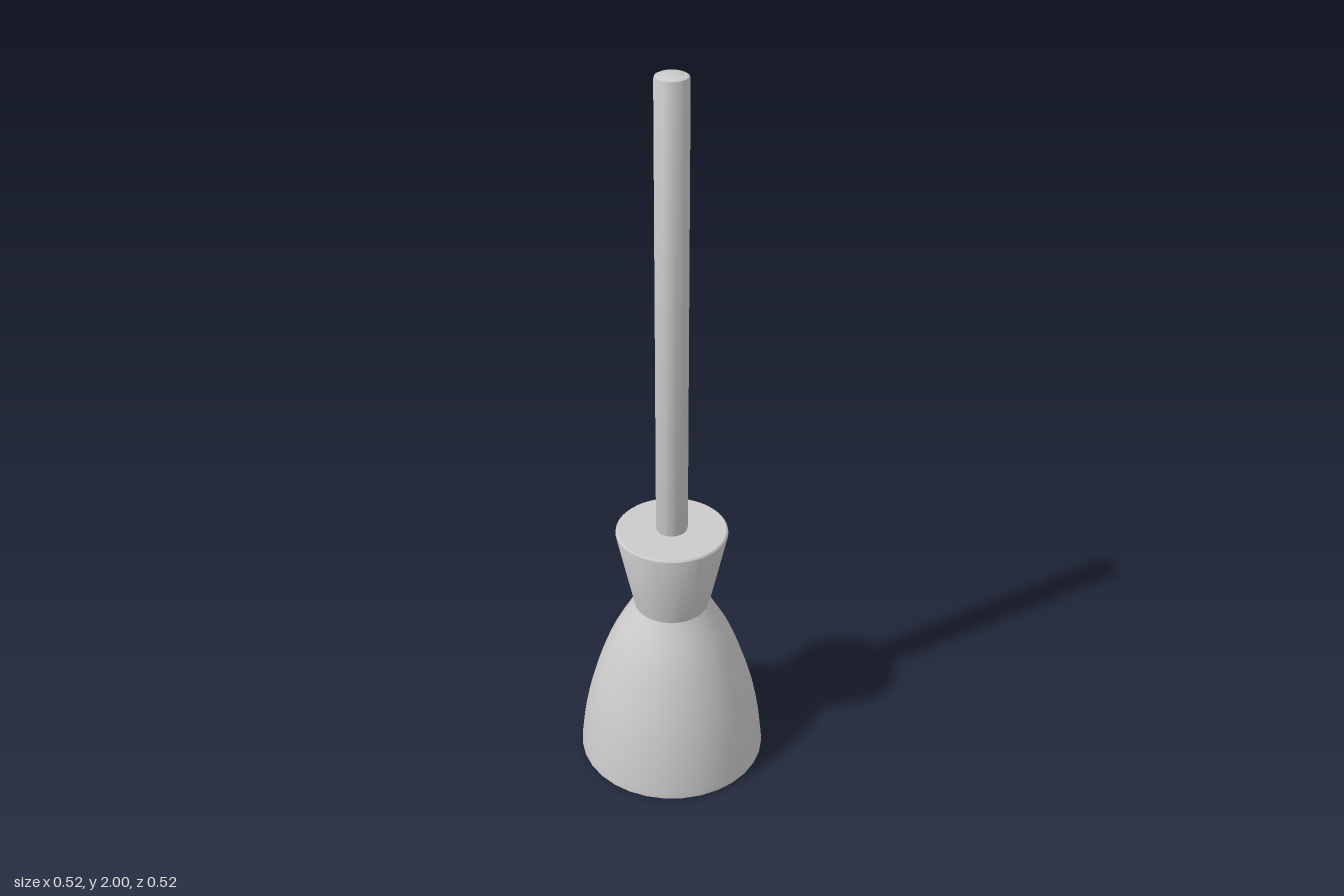
import * as THREE from 'three';
import { toCreasedNormals } from 'three/addons/utils/BufferGeometryUtils.js';

const material = new THREE.MeshStandardMaterial({ color: 0xcccccc });

// Turned part: profile runs from bottom centre to top centre as [radius, height]
function turned(name, profile, segments) {
  const points = profile.map(([r, y]) => new THREE.Vector2(r, y));
  const geometry = toCreasedNormals(new THREE.LatheGeometry(points, segments), 0.6);
  const mesh = new THREE.Mesh(geometry, material);
  mesh.name = name;
  return mesh;
}

export function createModel() {
  const group = new THREE.Group();
  group.name = 'pendantLamp';

  // Bell-shaped shade with a closed underside
  const flare = new THREE.SplineCurve([
    [0.261, 0.012], [0.25, 0.1], [0.23, 0.2], [0.2, 0.3], [0.16, 0.4], [0.104, 0.5],
  ].map(([r, y]) => new THREE.Vector2(r, y)));
  const side = flare.getPoints(20).map((p) => [p.x, p.y]);
  group.add(turned('shade', [[0, 0], [0.257, 0], [0.261, 0.004], ...side, [0, 0.5]], 32));

  // Tapered collar, softened at the top edge
  group.add(turned('collar', [
    [0, 0.5], [0.103, 0.5], [0.152, 0.73], [0.151, 0.736], [0.147, 0.74], [0, 0.74],
  ], 64));

  // Hanging rod with rounded ends
  group.add(turned('rod', [
    [0, 0.74], [0.035, 0.74], [0.041, 0.743], [0.043, 0.75],
    [0.043, 1.99], [0.041, 1.997], [0.035, 2], [0, 2],
  ], 32));

  return group;
}
